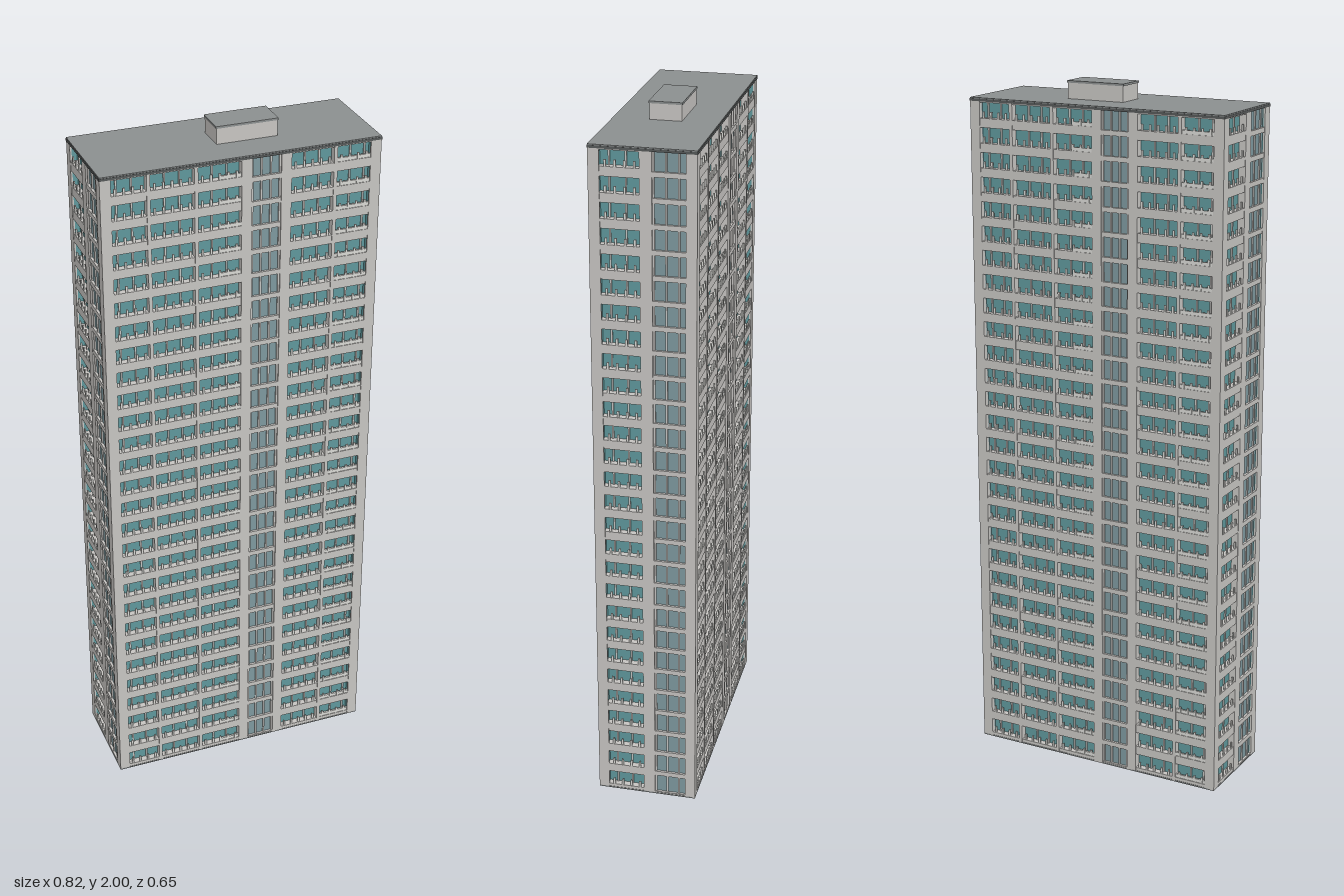
import * as THREE from 'three';
import { mergeGeometries } from 'three/addons/utils/BufferGeometryUtils.js';

const W = 0.783, D = 0.287, H = 1.95, FLOORS = 28, STEP = H / FLOORS;
const RECESS = 0.02;

const mat = (name, color) => {
  const m = new THREE.MeshStandardMaterial({ color });
  m.name = name;
  return m;
};

// Box given by its lower and upper limits
function box(x0, x1, y0, y1, z0, z1) {
  const g = new THREE.BoxGeometry(x1 - x0, y1 - y0, z1 - z0);
  return g.translate((x0 + x1) / 2, (y0 + y1) / 2, (z0 + z1) / 2);
}

function addMesh(group, name, geometries, material) {
  if (!geometries.length) return;
  const mesh = new THREE.Mesh(mergeGeometries(geometries), material);
  mesh.name = name;
  group.add(mesh);
}

// One wall, outer plane at z = 0, made of bays { from, to, type, panel }
function facade(name, width, bays, mats) {
  const group = new THREE.Group();
  group.name = name;
  const piers = [], bands = [], rails = [], panels = [], glass = [], stairGlass = [], frames = [];
  const left = -width / 2;
  let edge = 0;

  for (const { from, to, type, panel } of bays) {
    const a = left + from, b = left + to, w = b - a;
    const balcony = type === 'balcony';
    // Solid wall between the previous bay and this one
    piers.push(box(left + edge, a, 0, H - 0.01, -0.03, 0));
    edge = to;

    // Recessed glass with upright frames
    (balcony ? glass : stairGlass).push(
      box(a, b, 0, H - 0.01, -RECESS - 0.008, balcony ? -RECESS : -0.008));
    const uprights = balcony ? [0.36, 0.7] : [0.03, 0.34, 0.66, 0.97];
    for (const t of uprights) {
      const x = a + w * t, z = balcony ? -RECESS : -0.008;
      frames.push(box(x - 0.0025, x + 0.0025, 0, H - 0.01, z - 0.002, z + 0.004));
    }

    // Floor bands, railings and parapet panels on each storey
    const half = balcony ? 0.013 : 0.007;
    for (let i = 0; i <= FLOORS; i++) {
      const y = i * STEP;
      const top = Math.min(y + half, H - 0.01);
      bands.push(box(a, b, Math.max(y - half, 0), top, -0.026, -0.001));
      if (i === FLOORS || !balcony) continue;
      for (let k = 0; k < 5; k++) {
        const x = a + w * (0.1 + 0.2 * k);
        rails.push(box(x - 0.003, x + 0.003, top, top + 0.018, -0.006, -0.002));
      }
      if (panel) panels.push(box(b - w * panel, b, top, top + 0.01, -0.009, -0.003));
    }
  }
  piers.push(box(left + edge, left + width, 0, H - 0.01, -0.03, 0));

  addMesh(group, 'piers', piers, mats.wall);
  addMesh(group, 'floorBands', bands, mats.wall);
  addMesh(group, 'railingPosts', rails, mats.rail);
  addMesh(group, 'parapetPanels', panels, mats.rail);
  addMesh(group, 'balconyGlass', glass, mats.glass);
  addMesh(group, 'stairGlass', stairGlass, mats.stairGlass);
  addMesh(group, 'windowFrames', frames, mats.wall);
  return group;
}

export function createModel() {
  const mats = {
    wall: mat('pale concrete', 0xc6c4c1),
    rail: mat('white railing', 0xd8d8d4),
    glass: mat('teal glass', 0x5f979b),
    stairGlass: mat('grey blue glass', 0x7d989e),
    roof: mat('grey roof', 0x8b8f8f),
    trim: mat('dark trim', 0x555858),
  };
  const model = new THREE.Group();
  model.name = 'apartmentTower';
  const tower = new THREE.Group();
  tower.name = 'tower';
  tower.rotation.y = -0.544;
  model.add(tower);

  // Six equal bays: three balconies, the stair strip, two balconies
  const bay = W / 6;
  const longBays = [];
  for (let i = 0; i < 6; i++) {
    const stair = i === 3, gap = stair ? 0.024 : 0.005;
    longBays.push({
      from: i * bay + gap, to: (i + 1) * bay - gap,
      type: stair ? 'stair' : 'balcony',
      panel: i === 5 ? 1 : i === 2 ? 0.5 : 0,
    });
  }
  const shortBays = [
    { from: 0.006, to: 0.135, type: 'balcony', panel: 0 },
    { from: 0.168, to: 0.275, type: 'stair', panel: 0 },
  ];

  // Opposite walls repeat by a half turn
  const sides = [
    ['frontWall', W, longBays, D / 2], ['leftWall', D, shortBays, W / 2],
    ['backWall', W, longBays, D / 2], ['rightWall', D, shortBays, W / 2],
  ];
  sides.forEach(([name, width, bays, offset], i) => {
    const wall = facade(name, width, bays, mats);
    const angle = i * Math.PI / 2;
    wall.rotation.y = angle;
    wall.position.set(Math.sin(angle) * offset, 0, Math.cos(angle) * offset);
    tower.add(wall);
  });

  // Solid core, base and roof
  const w = W / 2, d = D / 2;
  addMesh(tower, 'core', [box(-w + 0.027, w - 0.027, 0.001, H - 0.01, -d + 0.027, d - 0.027)], mats.wall);
  addMesh(tower, 'base', [box(-w, w, -0.0, 0.004, -d, d).translate(0, -0.0005, 0)], mats.roof);
  addMesh(tower, 'roofEdge', [box(-w - 0.001, w + 0.001, H - 0.01, H - 0.003, -d - 0.001, d + 0.001)], mats.trim);
  addMesh(tower, 'roof', [box(-w, w, H - 0.003, H, -d, d)], mats.roof);

  // Lift housing on the roof
  addMesh(tower, 'liftHousing', [box(-0.038, 0.134, H, 1.994, -0.044, 0.044)], mats.wall);
  addMesh(tower, 'liftHousingRoof', [box(-0.04, 0.136, 1.994, 2, -0.046, 0.046)], mats.roof);
  return model;
}
